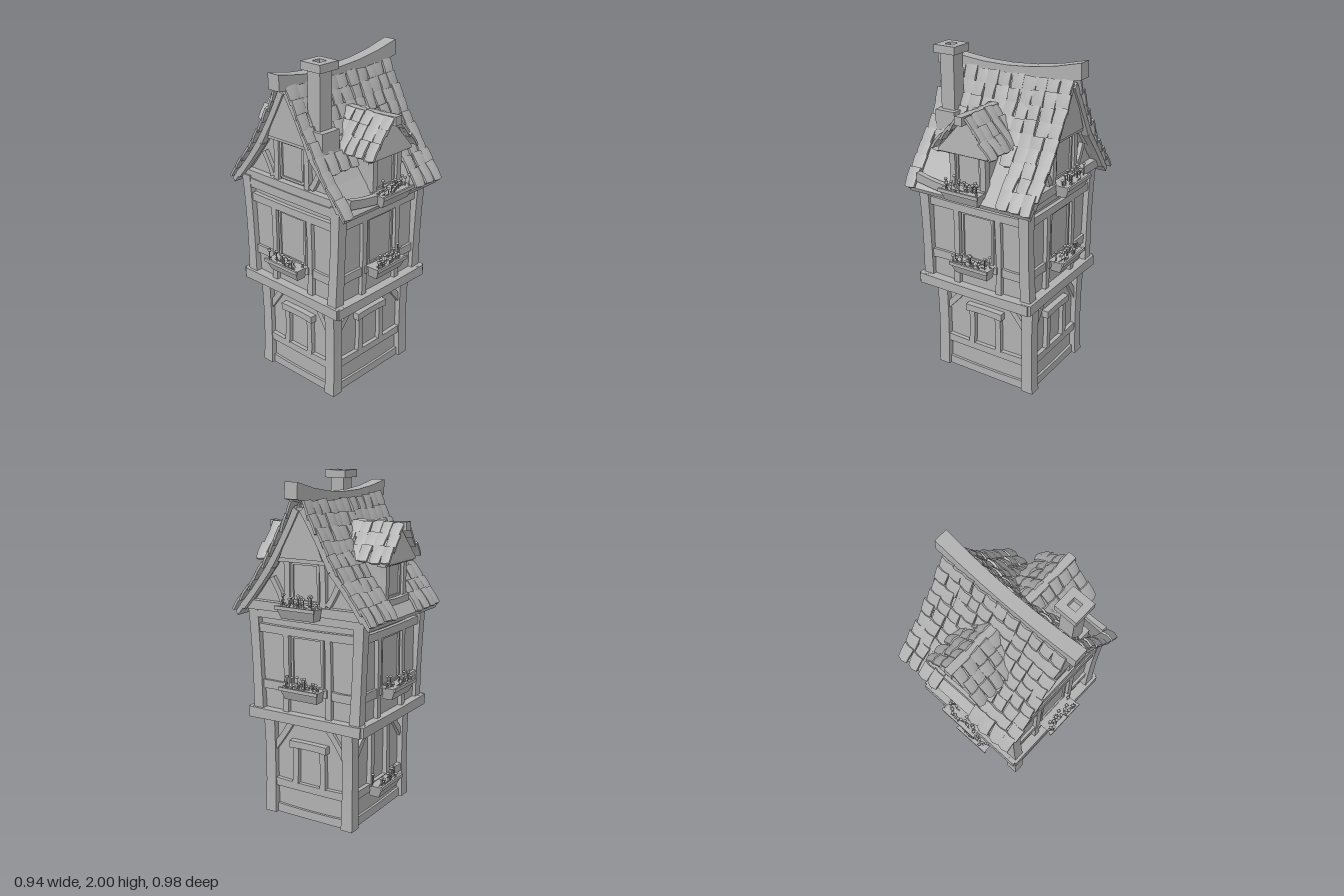
import * as THREE from 'three';
import { mergeGeometries } from 'three/addons/utils/BufferGeometryUtils.js';

const stone = new THREE.MeshStandardMaterial({ color: 0xb0b0b0 });
stone.name = 'plain grey';
const V = (x, y, z) => new THREE.Vector3(x, y, z);

let seed = 7;
const rnd = (a = -1, b = 1) => {
  seed = (seed * 16807) % 2147483647;
  return a + (b - a) * seed / 2147483647;
};

function add(parent, name, geo) {
  const m = new THREE.Mesh(geo, stone);
  m.name = name;
  parent.add(m);
  return m;
}
function group(parent, name, x = 0, y = 0, z = 0, ry = 0) {
  const g = new THREE.Group();
  g.name = name;
  g.position.set(x, y, z);
  g.rotation.y = ry;
  parent.add(g);
  return g;
}
function block(parent, name, x, y, z, w, h, d) {
  return add(parent, name, new THREE.BoxGeometry(w, h, d).translate(x, y, z));
}
// Timber from a to b, w by d thick, slightly bowed
function beam(parent, name, a, b, w, d, bend = 0.004) {
  const dir = b.clone().sub(a), len = dir.length();
  const geo = new THREE.BoxGeometry(w, len, d, 1, 6, 1);
  const p = geo.attributes.position;
  for (let i = 0; i < p.count; i++) {
    const t = 2 * p.getY(i) / len;
    p.setXYZ(i, p.getX(i) * (1 + 0.1 * t * t) + bend * (1 - t * t), p.getY(i), p.getZ(i) * (1 + 0.1 * t * t));
  }
  geo.computeVertexNormals();
  geo.applyQuaternion(new THREE.Quaternion().setFromUnitVectors(V(0, 1, 0), dir.normalize()));
  const c = a.clone().add(b).multiplyScalar(0.5);
  return add(parent, name, geo.translate(c.x, c.y, c.z));
}

// Rows of curved shingles on a slope that falls towards +z
function shingles(parent, name, profile, rows, cols, x0, x1, sag, skip = () => false) {
  const geos = [], cw = (x1 - x0) / cols;
  for (let r = 0; r < rows; r++) {
    const a = profile(r / rows), b = profile((r + 1) / rows);
    const len = a.distanceTo(b) * 1.4;
    for (let c = 0; c < cols; c++) {
      const x = x0 + (c + 0.5) * cw + rnd() * 0.008;
      const mid = a.clone().add(b).multiplyScalar(0.5);
      if (skip(x, mid.y)) continue;
      const g = new THREE.BoxGeometry(cw * rnd(0.85, 1.05), 0.014, len * rnd(0.9, 1.1), 2, 1, 2);
      const p = g.attributes.position;
      for (let i = 0; i < p.count; i++) {
        const u = 2 * p.getX(i) / cw, v = 2 * p.getZ(i) / len;
        p.setXYZ(i, p.getX(i) * (1 - 0.06 * v), p.getY(i) + 0.008 * (1 - u * u) - 0.004 * v * v, p.getZ(i) - 0.008 * u * u * Math.max(v, 0));
      }
      g.computeVertexNormals();
      g.rotateX(0.1 + rnd() * 0.05).rotateY(rnd() * 0.07).rotateZ(rnd() * 0.08);
      const Z = b.clone().sub(a).normalize(), X = V(1, 0, 0), Y = Z.clone().cross(X);
      const t = (r + 0.5) / rows, k = (x - (x0 + x1) / 2) / ((x1 - x0) / 2);
      mid.addScaledVector(Y, 0.014 + rnd() * 0.003);
      mid.x = x;
      mid.y -= sag * (1 - k * k) * (1 - t);
      g.applyMatrix4(new THREE.Matrix4().makeBasis(X, Y, Z).setPosition(mid));
      geos.push(g);
    }
  }
  return add(parent, name, mergeGeometries(geos));
}

// Planter with stems, leaves and blossoms; back edge on z = 0
function flowerBox(parent, x, y, z) {
  const g = group(parent, 'flowerBox', x, y, z);
  const box = new THREE.BoxGeometry(0.25, 0.07, 0.09);
  const p = box.attributes.position;
  for (let i = 0; i < p.count; i++) if (p.getY(i) < 0) p.setXYZ(i, p.getX(i) * 0.86, p.getY(i), p.getZ(i) < 0 ? -0.045 : 0.015);
  box.computeVertexNormals();
  add(g, 'planter', box.translate(0, 0, 0.045));
  block(g, 'planterRim', 0, 0.03, 0.088, 0.26, 0.02, 0.012);
  const geos = [];
  for (let i = 0; i < 16; i++) {
    const px = -0.11 + 0.22 * i / 15, pz = rnd(0.02, 0.085), h = rnd(0.02, 0.07);
    geos.push(new THREE.CylinderGeometry(0.002, 0.003, h, 4).translate(px, 0.035 + h / 2, pz));
    geos.push(new THREE.SphereGeometry(0.011, 6, 4).scale(1, 0.7, 1).translate(px, 0.035 + h, pz));
    geos.push(new THREE.ConeGeometry(0.012, 0.045, 4).scale(1, 1, 0.3).rotateZ(rnd() * 1.3).rotateX(rnd(0, 1)).translate(px, 0.045, pz));
  }
  add(g, 'flowers', mergeGeometries(geos));
}

function windowFrame(parent, x0, x1, y0, y1, z) {
  const cx = (x0 + x1) / 2, cy = (y0 + y1) / 2, w = x1 - x0, h = y1 - y0;
  const g = group(parent, 'window');
  block(g, 'pane', cx, cy, z + 0.004, w, h, 0.008);
  for (const x of [x0, x1]) block(g, 'frameSide', x, cy, z + 0.009, 0.014, h, 0.018);
  for (const y of [y0, y1]) block(g, 'frameRail', cx, y, z + 0.009, w, 0.014, 0.018);
}

// Timbering of one ground floor side, wall plane at z = 0
function lowerSide(parent, name, x, z, ry, half, planter) {
  const g = group(parent, name, x, 0, z, ry);
  beam(g, 'footRail', V(-half, 0.025, 0), V(half, 0.025, 0), 0.05, 0.03);
  beam(g, 'sillRail', V(-half, 0.195, 0.005), V(half, 0.195, 0.005), 0.045, 0.04);
  for (const s of [-1, 1]) {
    beam(g, 'brace', V(s * (half + 0.01), 0.41, 0.005), V(s * 0.12, 0.59, 0.005), 0.035, 0.03);
    beam(g, 'windowPost', V(s * 0.095, 0.21, 0.01), V(s * 0.09, planter ? 0.59 : 0.45, 0.01), 0.035, 0.035);
  }
  if (planter) flowerBox(g, 0, 0.175, 0.02);
  else beam(g, 'lintel', V(-0.125, 0.455, 0.015), V(0.125, 0.455, 0.015), 0.04, 0.045, -0.003);
}

// Timbering of one upper floor side
function upperSide(parent, name, x, z, ry, half) {
  const g = group(parent, name, x, 0, z, ry);
  beam(g, 'headRail', V(-half, 1.13, 0.008), V(half, 1.13, 0.008), 0.045, 0.035);
  beam(g, 'eavesRail', V(-half, 1.22, 0.015), V(half, 1.22, 0.015), 0.05, 0.04);
  for (const s of [-1, 1]) {
    beam(g, 'stud', V(s * 0.145, 0.64, 0.006), V(s * 0.14, 1.12, 0.006), 0.035, 0.035);
    beam(g, 'sideRail', V(s * 0.15, 0.79, 0.004), V(s * half, 0.79, 0.004), 0.05, 0.025);
  }
  beam(g, 'windowSill', V(-0.14, 0.8, 0.012), V(0.14, 0.8, 0.012), 0.04, 0.04);
  windowFrame(g, -0.1, 0.1, 0.82, 1.1, 0);
  flowerBox(g, 0, 0.785, 0.025);
}

const curve = new THREE.QuadraticBezierCurve3(V(0, 1.85, 0.03), V(0, 1.515, 0.185), V(0, 1.235, 0.445));
const mainProfile = t => curve.getPoint(t);

// Solid of the given outline (z, y) stretched along x
function prism(points, length) {
  const s = new THREE.Shape(points.map(p => new THREE.Vector2(p[0], p[1])));
  return new THREE.ExtrudeGeometry(s, { depth: length, bevelEnabled: false }).translate(0, 0, -length / 2).rotateY(Math.PI / 2);
}

function dormer(parent, name, lift, x, ry, planter) {
  const g = group(parent, name, x, lift, 0, ry);
  block(g, 'dormerWall', 0, 1.375, 0.22, 0.22, 0.25, 0.28);
  const roof = prism([[-0.15, 1.49], [0.15, 1.49], [0, 1.66]], 0.28).rotateY(-Math.PI / 2);
  add(g, 'dormerAttic', roof.translate(0, 0, 0.26));
  for (const s of [-1, 1]) {
    beam(g, 'dormerPost', V(s * 0.1, 1.24, 0.37), V(s * 0.1, 1.5, 0.375), 0.035, 0.04);
    const side = group(g, 'dormerSlope', 0, 0, 0, s * Math.PI / 2);
    const fall = t => V(0, 1.675 - 0.175 * t, 0.015 + 0.165 * t);
    shingles(side, 'dormerShingles', fall, 3, 5, s > 0 ? -0.45 : 0.12, s > 0 ? -0.12 : 0.45, 0);
  }
  beam(g, 'dormerCrossbeam', V(-0.16, 1.49, 0.385), V(0.16, 1.49, 0.385), 0.03, 0.05, 0);
  beam(g, 'dormerSill', V(-0.12, 1.27, 0.385), V(0.12, 1.27, 0.385), 0.035, 0.05);
  beam(g, 'dormerRidge', V(0, 1.675, 0.11), V(0, 1.685, 0.465), 0.045, 0.045, 0);
  // Gable board leaning outwards at its foot
  const board = new THREE.BufferGeometry().setFromPoints([V(-0.165, 1.495, 0.43), V(0.165, 1.495, 0.43), V(0.02, 1.665, 0.41),
    V(-0.165, 1.495, 0.43), V(0.02, 1.665, 0.41), V(-0.02, 1.665, 0.41)]);
  board.computeVertexNormals();
  board.setAttribute('uv', new THREE.Float32BufferAttribute(12, 2));
  add(g, 'dormerGable', board);
  block(g, 'dormerSoffit', 0, 1.49, 0.4, 0.32, 0.01, 0.06);
  windowFrame(g, -0.075, 0.075, 1.29, 1.47, 0.361);
  if (planter) flowerBox(g, 0, 1.25, 0.395);
}

export function createModel() {
  const house = new THREE.Group();
  house.name = 'timberHouse';
  const H = Math.PI / 2;

  // Ground floor
  const lower = group(house, 'groundFloor');
  block(lower, 'lowerWalls', 0, 0.3, -0.015, 0.6, 0.6, 0.53);
  for (const x of [-0.302, 0.305]) for (const z of [0.25, -0.28])
    beam(lower, 'cornerPost', V(x, 0, z), V(x, 0.6, z), 0.068, 0.068, x < 0 ? 0.006 : -0.006);
  lowerSide(lower, 'frontTimbers', 0, 0.25, 0, 0.27, false);
  lowerSide(lower, 'backTimbers', 0, -0.28, Math.PI, 0.27, true);
  lowerSide(lower, 'leftTimbers', 0.3, -0.015, H, 0.235, false);
  lowerSide(lower, 'rightTimbers', -0.3, -0.015, -H, 0.235, false);

  // Overhanging upper floor
  const upper = group(house, 'upperFloor');
  block(upper, 'floorSlab', -0.012, 0.615, -0.01, 0.7, 0.04, 0.7);
  for (const z of [0.35, -0.37]) beam(upper, 'beltBeam', V(-0.39, 0.62, z), V(0.36, 0.62, z), 0.058, 0.055);
  for (const x of [-0.37, 0.345]) beam(upper, 'beltBeam', V(x, 0.62, -0.385), V(x, 0.62, 0.37), 0.055, 0.058, 0);
  block(upper, 'upperWalls', -0.012, 0.94, -0.015, 0.66, 0.62, 0.67);
  for (const x of [-0.35, 0.325]) for (const s of [-1, 1])
    beam(upper, 'cornerPost', V(x, 0.63, -0.012 + s * 0.325), V(x, 1.26, -0.012 + s * 0.352), 0.06, 0.06, x < 0 ? 0.004 : -0.004);
  upperSide(upper, 'frontTimbers', 0, 0.32, 0, 0.32);
  upperSide(upper, 'backTimbers', 0, -0.35, Math.PI, 0.32);
  upperSide(upper, 'leftTimbers', 0.318, -0.015, H, 0.32);
  upperSide(upper, 'rightTimbers', -0.342, -0.015, -H, 0.32);

  // Main roof: attic, decks, shingles and ridge
  const roof = group(house, 'roof', 0, 0, -0.015);
  add(roof, 'attic', prism([[-0.39, 1.24], [0.39, 1.24], [0.19, 1.5], [0, 1.81], [-0.19, 1.5]], 0.66));
  const top = [0, 0.25, 0.5, 0.75, 1].map(t => mainProfile(t)).map(p => [-p.z, p.y]);
  const under = top.map(p => [p[0] + 0.012, p[1] - 0.025]).reverse();
  for (const s of [1, -1]) {
    const slope = group(roof, s > 0 ? 'frontSlope' : 'backSlope', 0, 0, 0, s > 0 ? 0 : Math.PI);
    add(slope, 'roofDeck', prism([...top, ...under], 0.8).translate(0, -0.012, 0));
    const skip = (x, y) => (Math.abs(x) < 0.12 && y < 1.47)
      || (s > 0 && y < 1.42 && ((x > -0.35 && x < 0 && y > 1.28) || (x > 0 && x < 0.16)))
      || (s > 0 && y < 1.3 && x > -0.33 && x < 0);
    shingles(slope, 'shingles', mainProfile, 9, 11, -0.42, 0.42, 0.02, skip);
    if (s > 0) beam(slope, 'eavesBoard', V(-0.35, 1.29, 0.42), V(-0.14, 1.26, 0.43), 0.05, 0.03);
  }
  beam(roof, 'ridgeBeam', V(-0.47, 1.893, 0.005), V(0.465, 1.922, 0.005), 0.082, 0.075, 0.055);

  // Gable ends
  for (const s of [1, -1]) {
    const g = group(roof, s > 0 ? 'leftGable' : 'rightGable', s * 0.33, 0, 0, s * H);
    beam(g, 'gableBase', V(-0.38, 1.265, 0.015), V(0.38, 1.265, 0.015), 0.05, 0.05, 0);
    beam(g, 'gableCrossbeam', V(-0.17, 1.545, 0.02), V(0.17, 1.545, 0.02), 0.035, 0.045, 0);
    for (const k of [-1, 1]) {
      beam(g, 'gablePost', V(k * 0.12, 1.28, 0.01), V(k * 0.115, 1.54, 0.01), 0.035, 0.035);
      beam(g, 'gableBrace', V(k * 0.15, 1.3, 0.01), V(k * 0.22, 1.43, 0.01), 0.03, 0.03);
      beam(g, 'bargeBeamLow', V(k * 0.4, 1.25, 0.05), V(k * 0.2, 1.5, 0.05), 0.035, 0.04);
      beam(g, 'bargeBeamHigh', V(k * 0.2, 1.5, 0.05), V(k * 0.02, 1.82, 0.05), 0.035, 0.04);
    }
    const cap = new THREE.Shape([[-0.14, 1.55], [0.14, 1.55], [0.02, 1.83], [-0.02, 1.83]].map(p => new THREE.Vector2(...p)));
    add(g, 'gableBoard', new THREE.ExtrudeGeometry(cap, { depth: 0.06, bevelEnabled: false }));
    windowFrame(g, -0.085, 0.085, 1.31, 1.52, 0.001);
    if (s > 0) flowerBox(g, 0, 1.255, 0.035);
  }

  dormer(house, 'frontDormer', 0, -0.022, 0, true);
  dormer(house, 'backDormer', 0.035, -0.002, Math.PI, false);

  // Chimney with hollow cap
  const chimney = group(house, 'chimney', -0.288, 0, 0.145);
  block(chimney, 'chimneyFoot', 0, 1.57, 0.02, 0.13, 0.13, 0.12);
  block(chimney, 'chimneyShaft', 0, 1.74, 0, 0.09, 0.44, 0.09);
  const square = (r, Type) => new Type([[-r, -r], [r, -r], [r, r], [-r, r]].map(p => new THREE.Vector2(...p)));
  const rim = square(0.07, THREE.Shape);
  rim.holes.push(square(0.027, THREE.Path));
  add(chimney, 'chimneyCap', new THREE.ExtrudeGeometry(rim, { depth: 0.045, bevelEnabled: false }).rotateX(-H).translate(0, 1.955, 0));
  return house;
}
